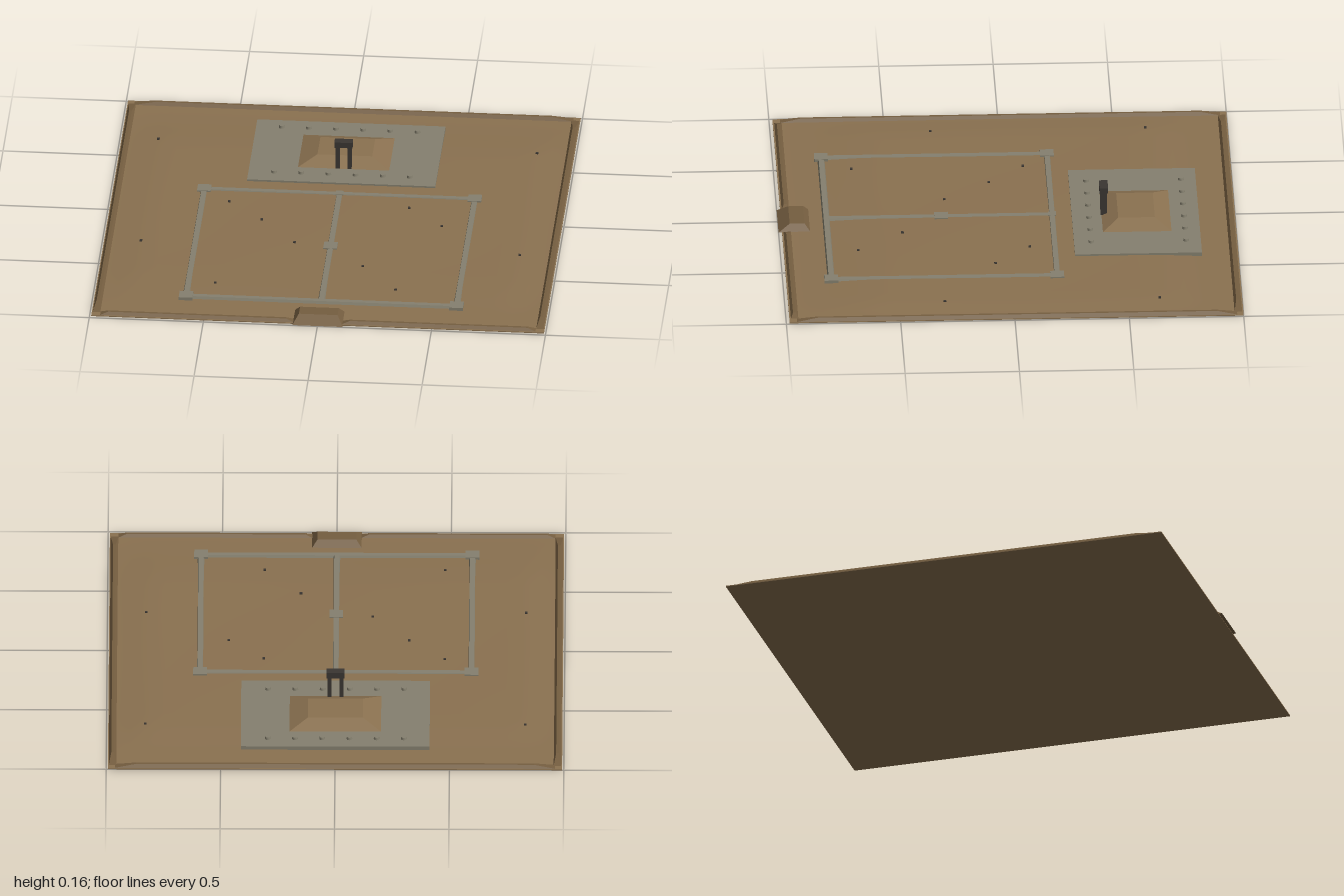
import * as THREE from 'three';

const mat = (color) => new THREE.MeshStandardMaterial({ color, side: THREE.DoubleSide });
const earth = mat(0x8a7150), stone = mat(0x85806f), dark = mat(0x3a3632), bank = mat(0x755e40);

// Box whose top face is shrunk (and optionally shifted in z), standing on y
function frustum(name, material, [w, h, d], [topW, topD], [x, y, z], shiftZ = 0) {
  const geo = new THREE.BoxGeometry(w, h, d);
  const p = geo.attributes.position;
  for (let i = 0; i < p.count; i++) {
    if (p.getY(i) > 0) {
      p.setX(i, p.getX(i) * topW / w);
      p.setZ(i, p.getZ(i) * topD / d + shiftZ);
    }
  }
  geo.computeVertexNormals();
  const mesh = new THREE.Mesh(geo, material);
  mesh.name = name;
  mesh.position.set(x, y + h / 2, z);
  return mesh;
}
const block = (name, m, size, pos) => frustum(name, m, size, [size[0], size[2]], pos);

// Ground height: a gentle plateau falling away to the edges
const fall = THREE.MathUtils.smoothstep;
function groundHeight(x, z) {
  const k = (1 - fall(Math.abs(x), 0.8, 0.98)) * (1 - fall(z, 0.55, 0.92)) * (1 - fall(-z, 0.6, 0.88));
  return 0.004 + 0.010 * k + 0.001 * k * Math.sin(x * 5 + 1) * Math.cos(z * 4);
}

function makeGround() {
  const geo = new THREE.BoxGeometry(1.985, 0.004, 1.985, 40, 1, 40);
  geo.translate(0, 0.002, -0.0075);
  const p = geo.attributes.position;
  for (let i = 0; i < p.count; i++) {
    if (p.getY(i) > 0.002) p.setY(i, groundHeight(p.getX(i), p.getZ(i)));
  }
  geo.computeVertexNormals();
  const mesh = new THREE.Mesh(geo, earth);
  mesh.name = 'ground';
  return mesh;
}

export function createModel() {
  const model = new THREE.Group();
  model.name = 'earthworkSite';
  model.add(makeGround());

  // Perimeter banks, with a gap at the front for the entrance mound
  for (const s of [-1, 1]) {
    model.add(frustum('sideBank', bank, [0.036, 0.016, 1.95], [0.012, 1.75], [s * 0.972, 0.002, -0.01]));
    model.add(frustum('frontBank', bank, [0.86, 0.014, 0.036], [0.78, 0.012], [s * 0.53, 0.002, 0.962]));
  }
  model.add(frustum('backBank', bank, [1.95, 0.016, 0.036], [1.74, 0.012], [0, 0.002, -0.978]));

  // Entrance mound
  model.add(frustum('entranceMound', bank, [0.22, 0.031, 0.14], [0.17, 0.065], [0, 0.002, 0.93], -0.012));

  // Stone platform with a sloped mound
  model.add(block('platform', stone, [0.825, 0.021, 0.555], [0, 0.001, -0.5625]));
  model.add(frustum('platformMound', earth, [0.40, 0.03, 0.30], [0.24, 0.16], [0, 0.022, -0.565]));

  // Two rows of short column stumps
  const stumpGeo = new THREE.CylinderGeometry(0.011, 0.013, 0.012, 8);
  for (const z of [-0.775, -0.36]) {
    for (let i = 0; i < 6; i++) {
      const stump = new THREE.Mesh(stumpGeo, stone);
      stump.name = 'columnStump';
      stump.position.set(-0.3 + i * 0.119, 0.027, z);
      model.add(stump);
    }
  }

  // Gateway: two posts and a lintel
  const gate = new THREE.Group();
  gate.name = 'gateway';
  for (const s of [-1, 1]) gate.add(block('gatePost', dark, [0.018, 0.108, 0.028], [s * 0.026, 0.024, -0.425]));
  gate.add(block('gateLintel', dark, [0.08, 0.026, 0.038], [0, 0.13, -0.425]));
  model.add(gate);

  // Wall foundations: outer rectangle and dividing wall
  const wallH = 0.017;
  for (const x of [-0.593, 0, 0.593]) {
    model.add(frustum('longWall', stone, [0.036, wallH, 0.99], [0.022, 0.985], [x, 0.001, 0.295]));
  }
  for (const z of [-0.2, 0.788]) {
    model.add(frustum('crossWall', stone, [1.186, wallH, 0.036], [1.18, 0.022], [0, 0.001, z]));
    for (const s of [-1, 1]) model.add(block('cornerBlock', stone, [0.06, 0.019, 0.06], [s * 0.593, 0.001, z]));
  }
  model.add(block('middleBlock', stone, [0.06, 0.019, 0.06], [0, 0.001, 0.285]));
  model.add(block('wallJoint', stone, [0.035, 0.019, 0.035], [0, 0.001, -0.2]));

  // Small marker stakes scattered over the ground
  const stakes = [
    [-0.83, -0.64], [0.83, -0.64], [-0.83, 0.3], [0.83, 0.3],
    [-0.475, -0.09], [0.315, -0.09], [-0.32, 0.065], [0.47, 0.065],
    [-0.16, 0.265], [0.155, 0.46], [-0.475, 0.66], [0.315, 0.66],
  ];
  for (const [x, z] of stakes) {
    model.add(block('stake', dark, [0.011, 0.006, 0.011], [x, groundHeight(x, z) - 0.001, z]));
  }
  return model;
}
